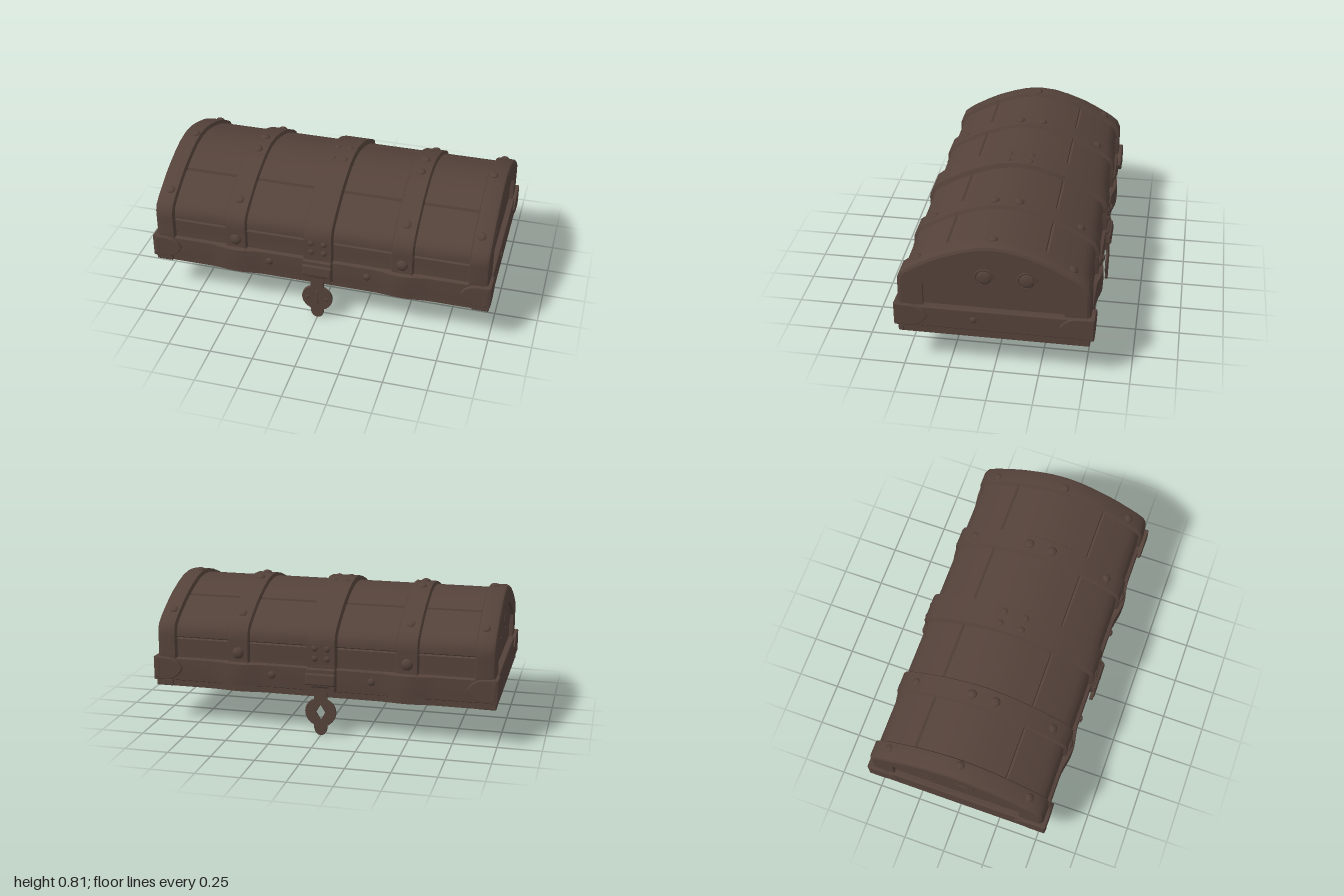
import * as THREE from 'three';
import { toCreasedNormals } from 'three/addons/utils/BufferGeometryUtils.js';
import { RoundedBoxGeometry } from 'three/addons/geometries/RoundedBoxGeometry.js';

const wood = new THREE.MeshStandardMaterial({ color: 0x54423a, side: THREE.DoubleSide });
wood.name = 'darkBrown';

// Half section of the lid as [z, y, kind]; 'seam' marks a plank groove
const HALF = [
  [0.51, 0.22, 'base'], [0.51, 0.255, 'base'], [0.525, 0.262, 'trim'], [0.528, 0.325, 'trim'],
  [0.525, 0.388, 'trim'], [0.506, 0.396, 'lid'], [0.505, 0.42, 'lid'], [0.505, 0.505, 'lid'],
  [0.505, 0.512, 'seam'], [0.505, 0.519, 'lid'], [0.504, 0.55, 'lid'], [0.49, 0.585, 'lid'],
  [0.455, 0.613, 'lid'], [0.41, 0.641, 'lid'], [0.33, 0.685, 'lid'], [0.278, 0.71, 'lid'],
  [0.27, 0.7135, 'seam'], [0.262, 0.717, 'lid'], [0.17, 0.75, 'lid'], [0.09, 0.772, 'lid'], [0, 0.781, 'lid'],
];
const PROFILE = [...HALF, ...HALF.slice(0, -1).reverse().map(([z, y, k]) => [-z, y, k])];

// Raised straps: [centre, half width, height]
const STRAPS = [[0, 0.083, 0.026], [-0.49, 0.06, 0.018], [0.49, 0.06, 0.018], [-0.925, 0.055, 0.02], [0.925, 0.055, 0.02]];
const strapHeight = (x) => {
  for (const [c, w, h] of STRAPS) if (Math.abs(x - c) <= w) return h;
  return 0;
};
const bulge = (x) => {
  const d = Math.abs(Math.abs(x) - 0.49) / 0.17;
  return d < 1 ? 0.022 * (1 + Math.cos(Math.PI * d)) / 2 : 0;
};

// One section of the shell, pushed outward according to kind
function section(x, shrink = 0) {
  const h = strapHeight(x);
  return PROFILE.map(([z, y, kind], i) => {
    if (kind === 'base') return [z + Math.sign(z) * bulge(x) * 0.6, y];
    if (kind === 'trim') return [z + Math.sign(z) * (bulge(x) + (Math.abs(x) < 0.084 ? 0.02 : 0)), y];
    const a = PROFILE[i - 1], b = PROFILE[i + 1];
    let nz = b[1] - a[1], ny = a[0] - b[0];
    if (y < 0.41) { nz = Math.sign(z); ny = 0; }
    const l = Math.hypot(nz, ny);
    const off = (h || (kind === 'seam' ? -0.011 : 0)) - shrink;
    return [z + nz / l * off, y + ny / l * off];
  });
}

function shellGeometry() {
  const xs = new Set([-0.9799, 0.9799]);
  for (const [c, w] of STRAPS) for (const s of [-1, 1]) {
    const e = c + s * w;
    if (Math.abs(e) < 0.97) { xs.add(e - s * 0.003); xs.add(e + s * 0.006); }
  }
  for (let k = 0; k <= 12; k++) for (const s of [-1, 1]) xs.add(s * (0.32 + k * 0.34 / 12));
  xs.add(0.96); xs.add(-0.96); xs.add(0.973); xs.add(-0.973);
  const stations = [...xs].sort((a, b) => a - b);
  const pos = [], idx = [], n = PROFILE.length;
  stations.forEach((x, j) => {
    const ax = Math.abs(x), shrink = ax > 0.975 ? 0.022 : ax > 0.965 ? 0.007 : 0;
    for (const [z, y] of section(x, shrink)) pos.push(x, y, z);
    if (!j) return;
    for (let i = 0; i < n - 1; i++) {
      const a = (j - 1) * n + i, b = j * n + i;
      idx.push(a, b, b + 1, a, b + 1, a + 1);
    }
  });
  const g = new THREE.BufferGeometry();
  g.setAttribute('position', new THREE.Float32BufferAttribute(pos, 3));
  g.setIndex(idx);
  return toCreasedNormals(g, 0.55);
}

const poly = (pts) => new THREE.Shape(pts.map(([x, y]) => new THREE.Vector2(x, y)));
const extrude = (shape, depth, bevel = 0) => new THREE.ExtrudeGeometry(shape, {
  depth, curveSegments: 10, bevelEnabled: bevel > 0, bevelSize: bevel, bevelThickness: bevel, bevelSegments: 2,
});

function add(parent, name, geometry, x = 0, y = 0, z = 0) {
  const m = new THREE.Mesh(geometry, wood);
  m.name = name;
  m.position.set(x, y, z);
  parent.add(m);
  return m;
}

// Domed rivet flattened along a normal in the given direction
const dome = new THREE.SphereGeometry(1, 12, 8);
function rivet(parent, p, normal, r = 0.026) {
  const m = add(parent, 'rivet', dome, ...p);
  m.scale.set(r, r, r * 0.6);
  m.quaternion.setFromUnitVectors(new THREE.Vector3(0, 0, 1), new THREE.Vector3(...normal).normalize());
}

// End wall: arched frame, recessed boards, trim and base rail (faces +x)
function endWall() {
  const g = new THREE.Group();
  const arch = section(0.97, 0.022).filter((p) => p[1] > 0.391);
  const frame = poly(arch);
  const opening = [[0.385, 0.396], [0.385, 0.535], [0.365, 0.56], [0.29, 0.605], [0.2, 0.65], [0.1, 0.685], [0, 0.697]];
  const hole = [...opening, ...opening.slice(0, -1).reverse().map(([z, y]) => [-z, y])];
  frame.holes.push(new THREE.Path(hole.map(([z, y]) => new THREE.Vector2(z, y))));
  // Shapes are drawn in (z, y), so turn them to face along x
  const turned = (geo) => geo.rotateY(Math.PI / 2);
  const mirrorZ = (s) => turned(extrude(s, 0.03));
  add(g, 'endFrame', mirrorZ(frame), 0.95);
  add(g, 'endPanel', turned(new THREE.ShapeGeometry(poly(hole))), 0.957);
  add(g, 'upperBoard', turned(extrude(poly(hole.filter((p) => p[1] > 0.5).concat([[-0.385, 0.514], [0.385, 0.514]])), 0.006)), 0.957);
  add(g, 'endTrim', new RoundedBoxGeometry(0.03, 0.13, 1.05, 2, 0.008), 0.975, 0.325);
  add(g, 'endBase', new THREE.BoxGeometry(0.026, 0.045, 1.02), 0.975, 0.2425);
  // Round wood knots on the upper board
  for (const z of [0.05, -0.18]) {
    const k = add(g, 'knot', dome, 0.962, 0.592, z);
    k.scale.set(0.012, 0.042, 0.042);
    const ring = add(g, 'knotRing', new THREE.TorusGeometry(0.05, 0.007, 6, 20, 4.6), 0.962, 0.592, z);
    ring.rotation.y = Math.PI / 2;
  }
  return g;
}

// Wrapped corner bracket for the +x +z corner
function cornerBracket() {
  const g = new THREE.Group();
  const plate = (len) => {
    const s = new THREE.Shape();
    s.moveTo(0, 0.27);
    s.lineTo(0, 0.395);
    s.lineTo(-len * 0.5, 0.392);
    s.quadraticCurveTo(-len * 0.85, 0.385, -len, 0.335);
    s.quadraticCurveTo(-len * 0.85, 0.285, -len * 0.5, 0.272);
    return extrude(s, 0.012, 0.006);
  };
  add(g, 'bracketFront', plate(0.155), 0.988, 0, 0.53);
  const side = add(g, 'bracketSide', plate(0.175), 0.982, 0, 0.54);
  side.rotation.y = Math.PI / 2;
  side.scale.x = -1;
  add(g, 'bracketEdge', new RoundedBoxGeometry(0.05, 0.135, 0.05, 2, 0.02), 0.975, 0.333, 0.525);
  add(g, 'bracketFoot', new RoundedBoxGeometry(0.1, 0.04, 0.03, 1, 0.006), 0.942, 0.242, 0.51);
  return g;
}

// Hanging hasp with a rounded plate and a pointed tip
function hasp(pierced) {
  const g = new THREE.Group();
  const s = new THREE.Shape();
  s.moveTo(-0.06, 0.31);
  s.quadraticCurveTo(-0.03, 0.27, -0.036, 0.215);
  s.bezierCurveTo(-0.105, 0.19, -0.105, 0.095, -0.035, 0.065);
  s.bezierCurveTo(-0.045, -0.015, 0.045, -0.015, 0.035, 0.065);
  s.bezierCurveTo(0.105, 0.095, 0.105, 0.19, 0.036, 0.215);
  s.quadraticCurveTo(0.03, 0.27, 0.06, 0.31);
  if (pierced) s.holes.push(new THREE.Path([[0, 0.19], [0.03, 0.14], [0, 0.09], [-0.03, 0.14]].map((p) => new THREE.Vector2(...p))));
  const geo = extrude(s, pierced ? 0.008 : 0.014, 0.003);
  geo.computeBoundingBox();
  geo.translate(0, -geo.boundingBox.min.y, 0);
  add(g, 'haspPlate', geo, 0, 0, 0.533);
  if (!pierced) {
    add(g, 'haspSlot', new RoundedBoxGeometry(0.016, 0.09, 0.01, 2, 0.004), 0, 0.145, 0.55);
    add(g, 'haspStaple', new RoundedBoxGeometry(0.05, 0.12, 0.02, 2, 0.006), 0, 0.14, 0.526);
    for (const x of [-0.058, 0.058]) rivet(g, [x, 0.14, 0.549], [0, 0, 1], 0.013);
  }
  const lock = add(g, 'lockBlock', new RoundedBoxGeometry(0.175, 0.07, 0.04, 3, 0.012), 0, 0.333, 0.54);
  lock.rotation.x = -0.06;
  add(g, 'hingeKnuckle', new THREE.CylinderGeometry(0.016, 0.016, 0.1, 12).rotateZ(Math.PI / 2), 0, 0.3, 0.542);
  return g;
}

export function createModel() {
  const model = new THREE.Group();
  model.name = 'chestLid';
  add(model, 'lidShell', shellGeometry());

  for (const s of [-1, 1]) {
    const end = endWall();
    end.name = s > 0 ? 'leftEnd' : 'rightEnd';
    end.scale.x = s;
    model.add(end);
    for (const t of [-1, 1]) {
      const c = cornerBracket();
      c.name = 'cornerBracket';
      c.scale.set(s, 1, t);
      model.add(c);
    }
    const h = hasp(s < 0);
    h.name = s > 0 ? 'frontHasp' : 'backHasp';
    h.scale.z = s;
    model.add(h);

    // Rivets along the straps, mirrored front to back
    for (const x of [-0.49, 0.49]) {
      rivet(model, [x, 0.45, s * 0.523], [0, 0, s], 0.034);
      rivet(model, [x, 0.655, s * 0.415], [0, 0.85, s * 0.5]);
      rivet(model, [x, 0.791, s * 0.07], [0, 1, s * 0.15], 0.028);
    }
    for (const x of [-0.037, 0.037]) {
      rivet(model, [x, 0.45, s * 0.531], [0, 0, s], 0.018);
      rivet(model, [x, 0.51, s * 0.531], [0, 0, s], 0.018);
      rivet(model, [x, 0.798, s * 0.065], [0, 1, s * 0.15], 0.02);
    }
    for (const x of [-0.91, 0.91]) rivet(model, [x, 0.655, s * 0.42], [0, 0.85, s * 0.5], 0.026);
    for (const x of [-0.29, 0.29]) rivet(model, [x, 0.335, s * 0.529], [0, 0, s], 0.022);
    rivet(model, [s * 0.9, 0.799, 0.01], [0, 1, 0], 0.026);
  }
  rivet(model, [0.989, 0.33, 0.11], [1, 0, 0], 0.02);
  return model;
}
